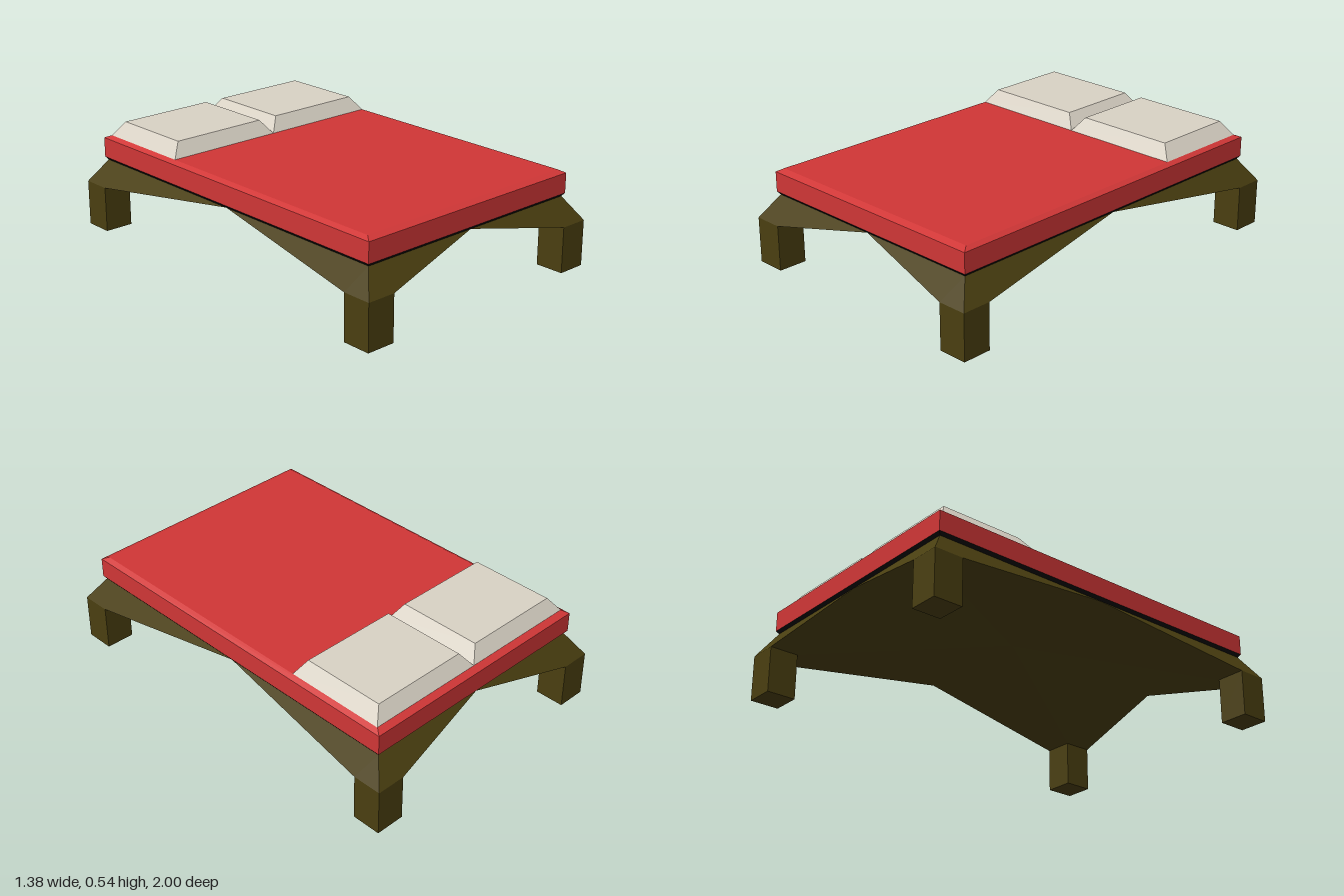
import * as THREE from 'three';

const mat = (name, color) => {
  const m = new THREE.MeshStandardMaterial({ color });
  m.name = name;
  return m;
};

// Solid with a rectangular bottom and top; each rectangle is [x0, x1, z0, z1]
function loft(bottom, y0, top, y1) {
  const g = new THREE.BoxGeometry(1, 1, 1);
  const p = g.attributes.position;
  for (let i = 0; i < p.count; i++) {
    const up = p.getY(i) > 0;
    const r = up ? top : bottom;
    p.setXYZ(i, p.getX(i) < 0 ? r[0] : r[1], up ? y1 : y0, p.getZ(i) < 0 ? r[2] : r[3]);
  }
  g.computeVertexNormals();
  return g;
}

// Rectangle mirrored into the quadrant given by the signs
const mirror = ([x0, x1, z0, z1], sx, sz) => [
  sx > 0 ? x0 : -x1, sx > 0 ? x1 : -x0,
  sz > 0 ? z0 : -z1, sz > 0 ? z1 : -z0,
];
const centred = (x, z) => [-x, x, -z, z];

export function createModel() {
  const wood = mat('dark wood', 0x4a3f10);
  const black = mat('black trim', 0x0a0806);
  const red = mat('red bedding', 0xd03636);
  const cream = mat('cream linen', 0xd9d2c5);

  const bed = new THREE.Group();
  bed.name = 'bed';
  const add = (name, geometry, material) => {
    const mesh = new THREE.Mesh(geometry, material);
    mesh.name = name;
    bed.add(mesh);
  };

  // Four legs, each with a frame quarter rising to the middle of the bed
  const foot = [0.545, 0.69, 0.855, 1];
  const quarter = [0, 0.615, 0, 0.92];
  for (const sx of [1, -1]) {
    for (const sz of [1, -1]) {
      const where = (sz > 0 ? 'front' : 'back') + (sx > 0 ? 'Left' : 'Right');
      const f = mirror(foot, sx, sz);
      add(where + 'Leg', loft(f, 0, f, 0.225), wood);
      add(where + 'Frame', loft(f, 0.225, mirror(quarter, sx, sz), 0.34), wood);
    }
  }

  // Mattress: bevelled black base, straight sides, bevelled top
  const side = centred(0.627, 0.932);
  add('mattressBase', loft(centred(0.615, 0.92), 0.34, side, 0.355), black);
  add('mattressSide', loft(side, 0.355, side, 0.453), red);
  add('mattressTop', loft(side, 0.453, centred(0.603, 0.9), 0.467), red);

  // Pillows
  for (const sx of [1, -1]) {
    add(sx > 0 ? 'leftPillow' : 'rightPillow', loft(
      mirror([0, 0.603, 0.39, 0.898], sx, -1), 0.467,
      mirror([0.053, 0.55, 0.433, 0.854], sx, -1), 0.536), cream);
  }
  return bed;
}
